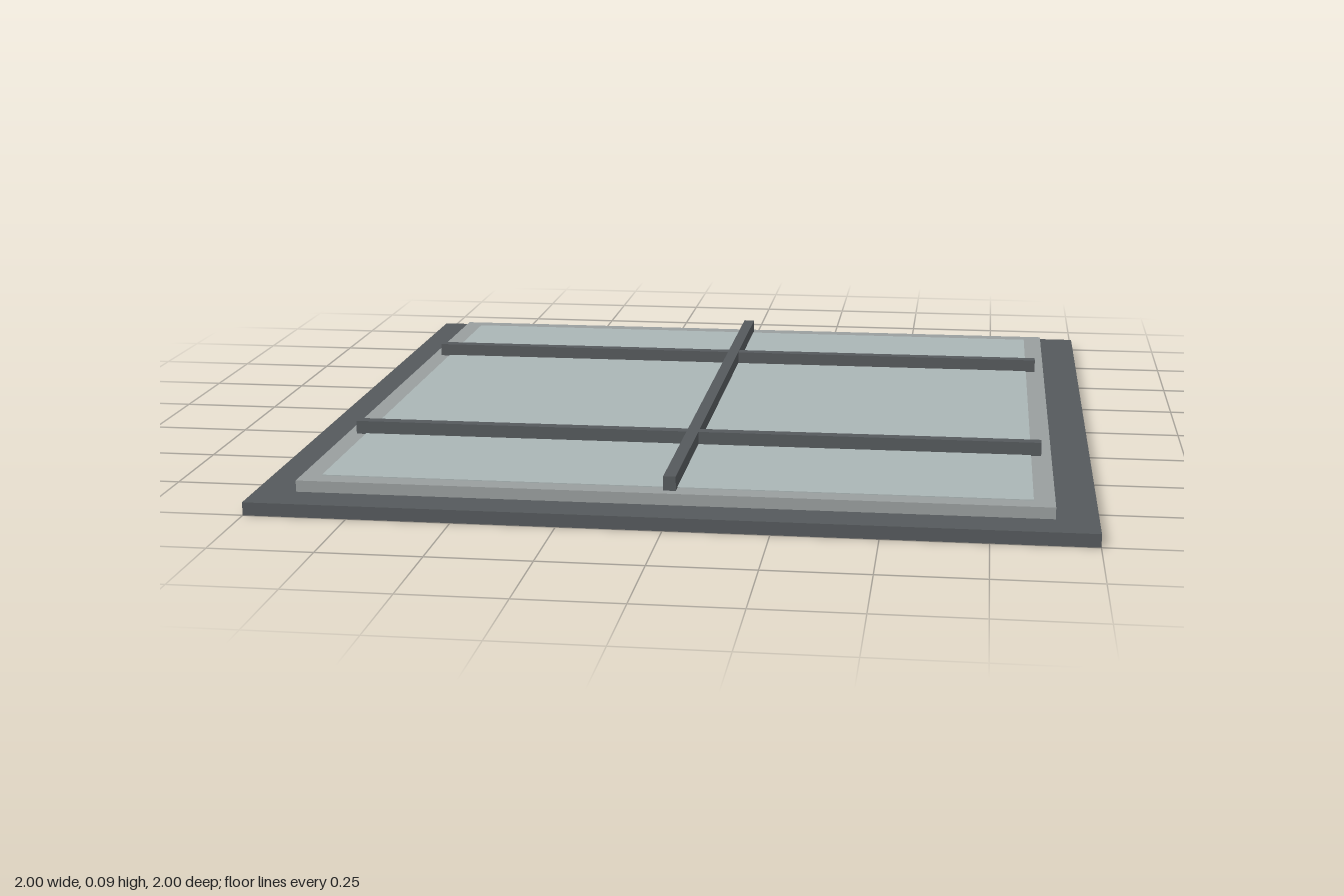
import * as THREE from 'three';

const material = (color) => new THREE.MeshStandardMaterial({ color });

export function createModel() {
  const model = new THREE.Group();
  const dark = material(0x55595c);
  const grey = material(0x999e9e);
  const pane = material(0xaab5b5);

  // Box spanning the heights bottom..top, centred on x and z
  function slab(name, width, depth, bottom, top, mat, x = 0, z = 0) {
    const mesh = new THREE.Mesh(new THREE.BoxGeometry(width, top - bottom, depth), mat);
    mesh.name = name;
    mesh.position.set(x, (bottom + top) / 2, z);
    model.add(mesh);
  }

  // Stepped base, raised frame and glass
  slab('base', 2, 2, 0, 0.032, dark);
  slab('frame', 1.8, 1.8, 0.032, 0.06, grey);
  slab('glassPane', 1.7, 1.7, 0.05, 0.062, pane);

  // Glazing bars: one running front to back, two crossing it
  slab('longBar', 0.03, 1.75, 0.06, 0.095, dark);
  for (const side of [1, -1]) {
    slab(side > 0 ? 'frontCrossBar' : 'backCrossBar', 1.75, 0.03, 0.06, 0.094, dark, 0, side * 0.45);
  }
  return model;
}
